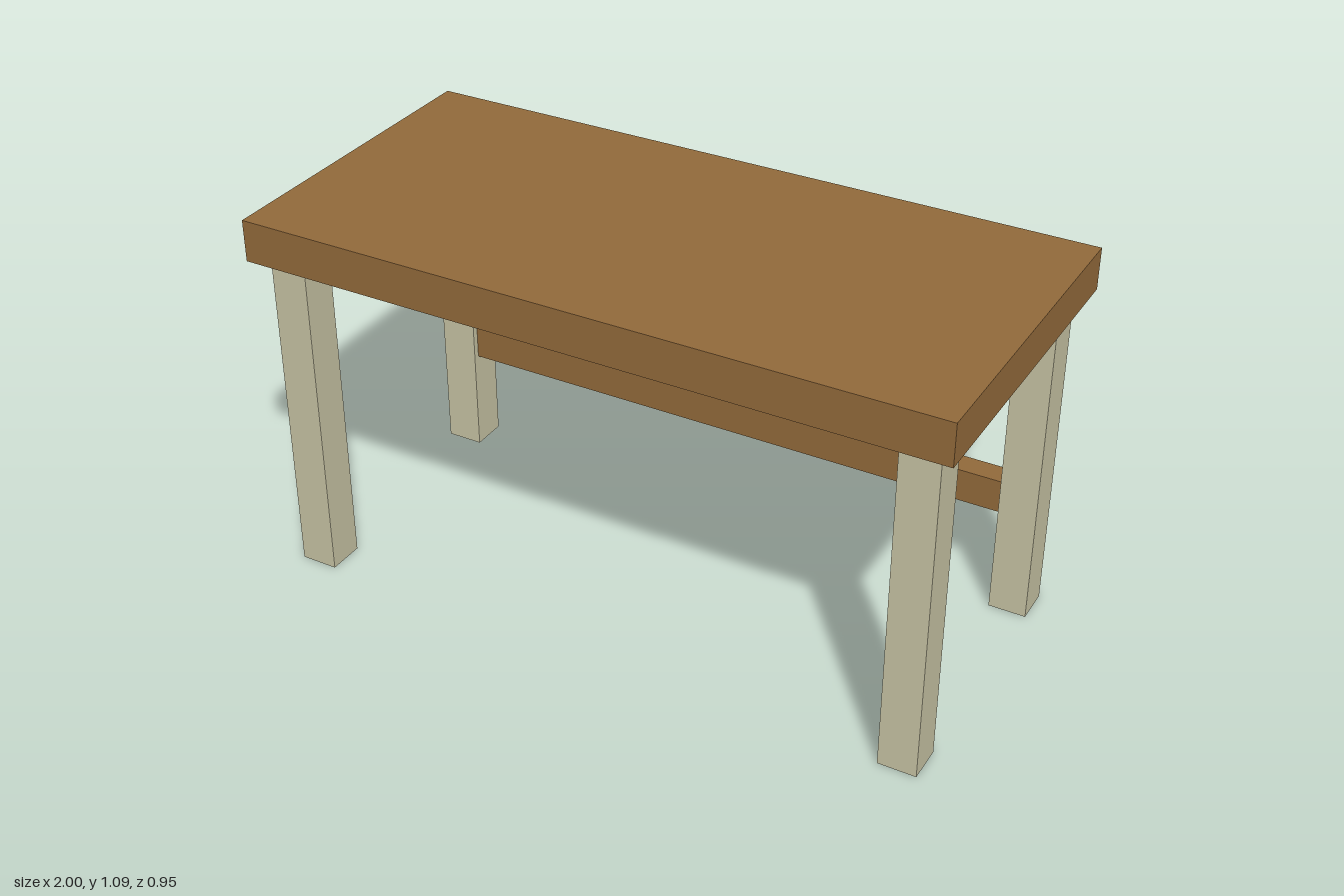
import * as THREE from 'three';

export function createModel() {
  const model = new THREE.Group();
  model.name = 'table';

  const wood = new THREE.MeshStandardMaterial({ color: 0x91693a });
  wood.name = 'brown wood';
  const paint = new THREE.MeshStandardMaterial({ color: 0xc5c1a2 });
  paint.name = 'pale leg paint';

  // Box given by its size, centre and bottom height
  function addBox(name, material, [w, h, d], [x, bottom, z]) {
    const mesh = new THREE.Mesh(new THREE.BoxGeometry(w, h, d), material);
    mesh.name = name;
    mesh.position.set(x, bottom + h / 2, z);
    model.add(mesh);
  }

  const legHeight = 0.973;
  const legWidth = 0.108;
  const legX = 0.902;
  const legZ = 0.374;

  // Thick slab top
  addBox('tableTop', wood, [2, 0.12, 0.946], [0, legHeight, 0]);

  // Four square legs
  for (const [side, sx] of [['Left', 1], ['Right', -1]]) {
    for (const [end, sz] of [['front', 1], ['back', -1]]) {
      addBox(end + side + 'Leg', paint, [legWidth, legHeight, legWidth], [sx * legX, 0, sz * legZ]);
    }
  }

  // Single stretcher between the back legs
  addBox('backStretcher', wood, [2 * legX - legWidth, 0.098, 0.07], [0, 0.304, -legZ]);

  return model;
}
